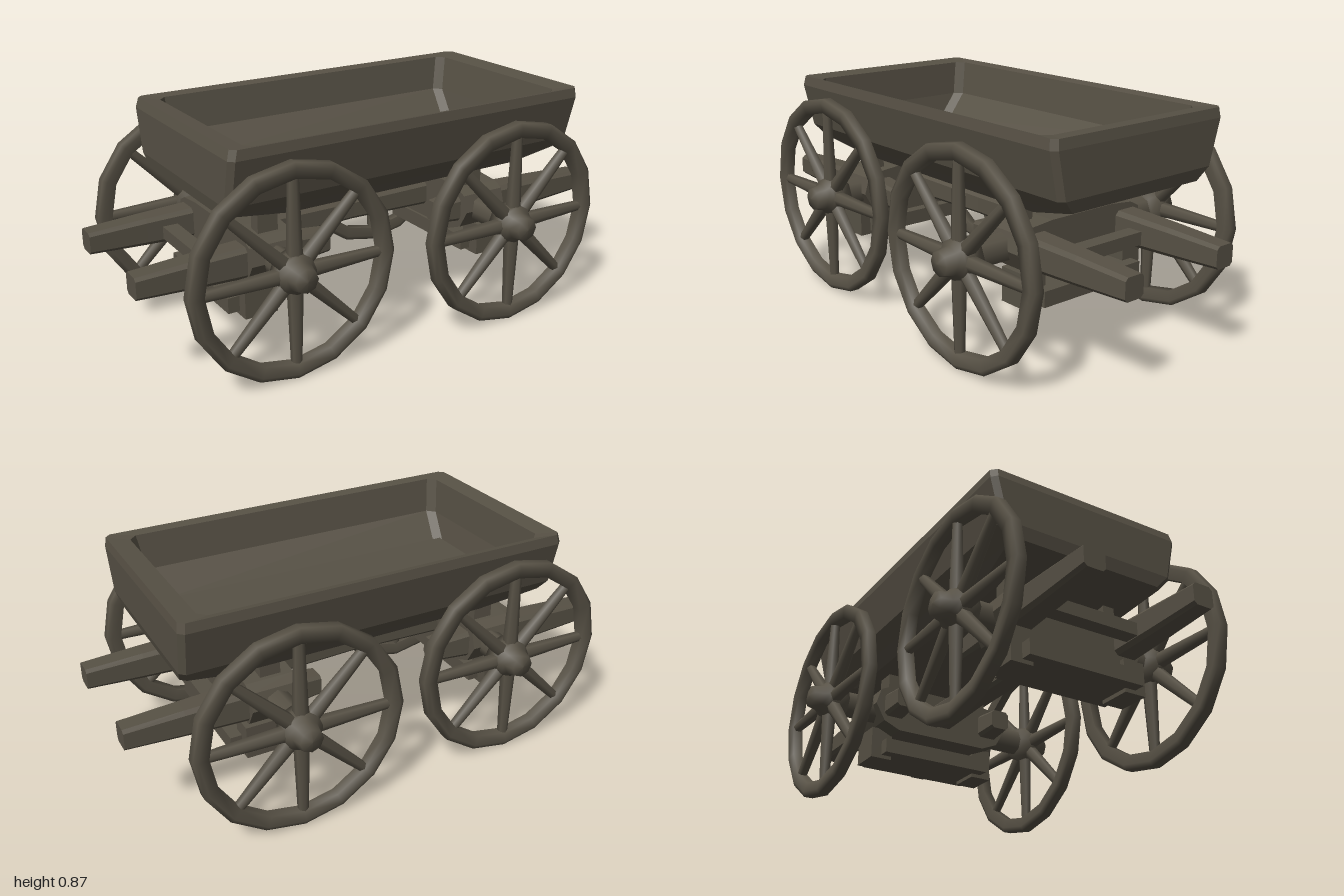
import * as THREE from 'three';

const wood = new THREE.MeshStandardMaterial({ color: 0x575145 });
wood.name = 'weathered wood';

function add(parent, name, geo, x = 0, y = 0, z = 0) {
  const m = new THREE.Mesh(geo, wood);
  m.name = name;
  m.position.set(x, y, z);
  parent.add(m);
  return m;
}

// Closed solid skinned over loops of points, each loop a list of [x, y, z]
function skin(loops) {
  const n = loops[0].length, pos = loops.flat(2), idx = [];
  for (let k = 0; k < loops.length - 1; k++) {
    for (let i = 0; i < n; i++) {
      const a = k * n + i, b = k * n + (i + 1) % n;
      idx.push(a, a + n, b, b, a + n, b + n);
    }
  }
  const last = (loops.length - 1) * n;
  for (let i = 1; i < n - 1; i++) {
    idx.push(0, i, i + 1, last, last + i + 1, last + i);
  }
  // Turn all faces outwards whichever way the loops were wound
  let vol = 0;
  const p = [0, 1, 2].map(() => new THREE.Vector3());
  for (let i = 0; i < idx.length; i += 3) {
    p.forEach((v, k) => v.fromArray(pos, idx[i + k] * 3));
    vol += p[0].dot(p[1].cross(p[2]));
  }
  if (vol < 0) idx.reverse();
  const g = new THREE.BufferGeometry();
  g.setAttribute('position', new THREE.Float32BufferAttribute(pos, 3));
  g.setIndex(idx);
  const flat = g.toNonIndexed();
  flat.computeVertexNormals();
  return flat;
}

// Bar along x with slightly bevelled corners; stations are [x, height, width]
function bar(stations) {
  return skin(stations.map(([x, h, w]) => [
    [0.5, 0.36], [0.36, 0.5], [-0.36, 0.5], [-0.5, 0.36],
    [-0.5, -0.36], [-0.36, -0.5], [0.36, -0.5], [0.5, -0.36],
  ].map(([a, b]) => [x, a * h, b * w])));
}

// Hollow tray: outside upwards, over the lip, inside down to the floor
function trayGeometry() {
  // [y, left x, right x, half depth, corner bevel]
  return skin([
    [0.575, -0.45, 0.62, 0.29, 0.02],
    [0.62, -0.70, 0.80, 0.325, 0.02],
    [0.67, -0.71, 0.815, 0.37, 0.02],
    [0.84, -0.71, 0.82, 0.41, 0.02],
    [0.877, -0.70, 0.815, 0.405, 0.02],
    [0.868, -0.63, 0.735, 0.37, 0.03],
    [0.73, -0.62, 0.71, 0.35, 0.03],
    [0.635, -0.60, 0.69, 0.26, 0.03],
  ].map(([y, l, r, d, c]) => [
    [l + c, y, -d], [r - c, y, -d], [r, y, c - d], [r, y, d - c],
    [r - c, y, d], [l + c, y, d], [l, y, d - c], [l, y, c - d],
  ]));
}

// Wheel in the xy plane with its hub pointing towards +z
function wheel() {
  const g = new THREE.Group();
  g.name = 'wheel';
  const rim = new THREE.LatheGeometry([
    [0.345, -0.02], [0.385, -0.028], [0.403, -0.018], [0.403, 0.018],
    [0.385, 0.028], [0.345, 0.02], [0.345, -0.02],
  ].map(([r, y]) => new THREE.Vector2(r, y)), 16);
  add(g, 'rim', rim.rotateX(Math.PI / 2));
  for (let i = 0; i < 8; i++) {
    const s = new THREE.CylinderGeometry(0.02, 0.03, 0.32, 6);
    s.translate(0, 0.2, 0).rotateZ(i * Math.PI / 4);
    add(g, 'spoke', s);
  }
  const hub = new THREE.LatheGeometry([
    [0, -0.06], [0.065, -0.06], [0.085, -0.01], [0.075, 0.025],
    [0.055, 0.045], [0.045, 0.085], [0, 0.092],
  ].map(([r, y]) => new THREE.Vector2(r, y)), 8);
  add(g, 'hub', hub.rotateX(Math.PI / 2));
  return g;
}

// Bolster block with sloping shoulders, extruded along x
function bolster(length) {
  const s = new THREE.Shape([
    [-0.2, 0.31], [0.2, 0.31], [0.27, 0.34], [0.31, 0.41], [0.29, 0.475],
    [0.25, 0.495], [0.15, 0.505], [-0.15, 0.505], [-0.25, 0.495], [-0.29, 0.475],
    [-0.31, 0.41], [-0.27, 0.34],
  ].map(([z, y]) => new THREE.Vector2(z, y)));
  const g = new THREE.ExtrudeGeometry(s, { depth: length, bevelEnabled: false });
  return g.translate(0, 0, -length / 2).rotateY(Math.PI / 2);
}

// Axle, wheels, shafts and supports; dir is the way the shafts point
function undercarriage(x, wheelZ, dir) {
  const g = new THREE.Group();
  g.name = 'undercarriage';
  add(g, 'bolster', bolster(0.19), x + dir * 0.01);
  const axle = new THREE.CylinderGeometry(0.055, 0.055, wheelZ * 2, 8);
  add(g, 'axle', axle.rotateX(Math.PI / 2), x, 0.41, 0);
  for (const side of [1, -1]) {
    const w = wheel();
    w.position.set(x, 0.41, side * wheelZ);
    if (side < 0) w.rotation.y = Math.PI;
    g.add(w);
    const shaft = bar([[dir * 0.25, 0.08, 0.08], [dir * 0.5, 0.125, 0.11],
      [dir * 0.78, 0.105, 0.095], [dir, 0.083, 0.085]]);
    add(g, 'shaft', shaft, 0, 0.412, side * 0.225);
    add(g, 'post', new THREE.BoxGeometry(0.08, 0.14, 0.05), x, 0.55, side * 0.21);
    add(g, 'brace', new THREE.BoxGeometry(0.13, 0.13, 0.09), x + dir * 0.06, 0.27, side * 0.24);
  }
  // Cross pieces tying the shafts together
  add(g, 'lowerCrossbar', new THREE.BoxGeometry(0.22, 0.06, 0.48), x + dir * 0.06, 0.25, 0);
  add(g, 'shaftCrossbar', new THREE.BoxGeometry(0.06, 0.05, 0.4), x + dir * 0.2, 0.4, 0);
  return g;
}

export function createModel() {
  const model = new THREE.Group();
  model.name = 'wagon';

  add(model, 'tray', trayGeometry());
  // Floor planks
  for (const z of [-0.12, 0.12]) {
    add(model, 'floorPlank', new THREE.BoxGeometry(1.27, 0.012, 0.23), 0.045, 0.639, z);
  }

  model.add(undercarriage(-0.49, 0.422, -1), undercarriage(0.44, 0.48, 1));
  add(model, 'reachBeam', bar([[-0.5, 0.1, 0.1], [0, 0.08, 0.08], [0.46, 0.1, 0.1]]), 0, 0.412, 0);
  return model;
}
